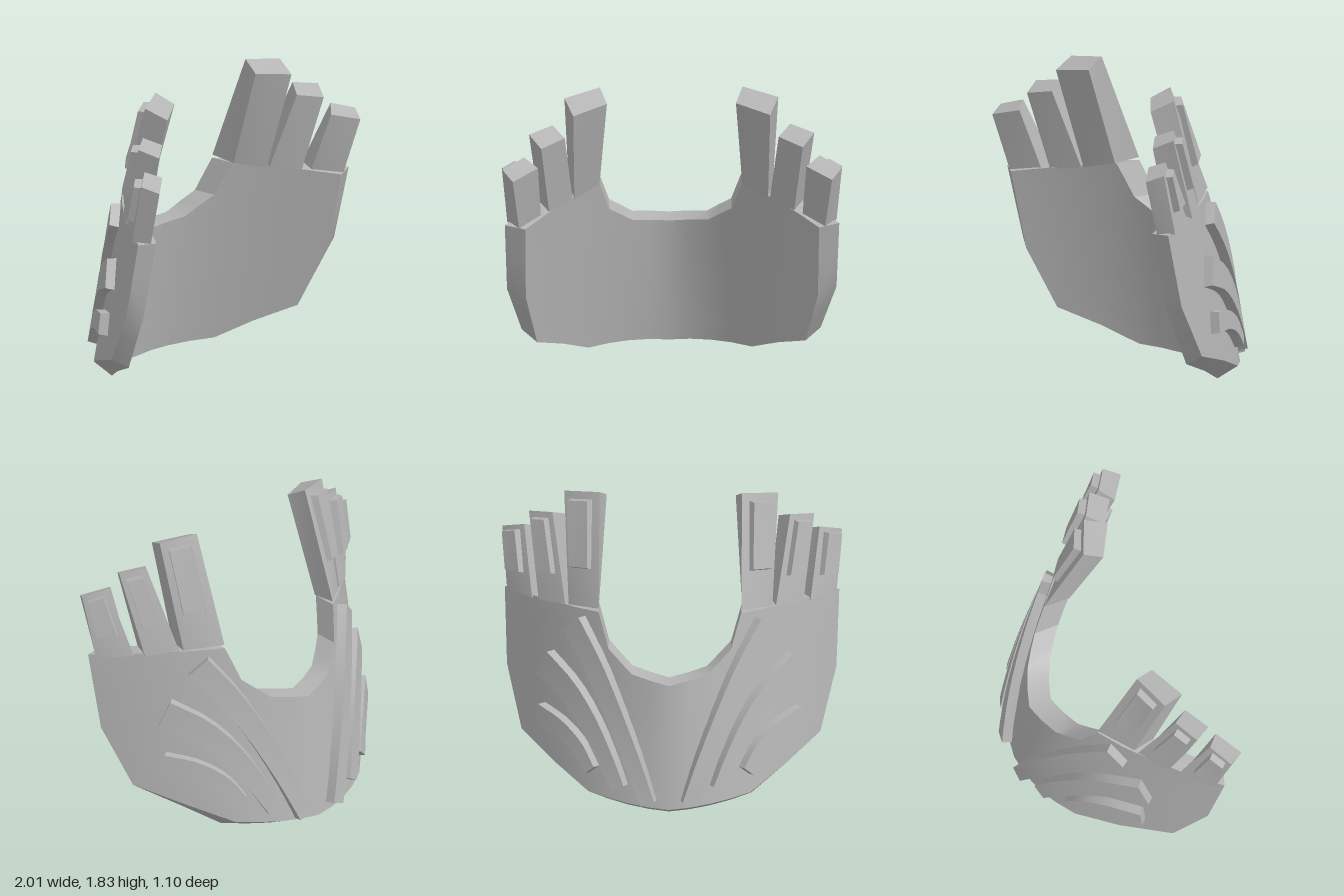
import * as THREE from 'three';
import { toCreasedNormals } from 'three/addons/utils/BufferGeometryUtils.js';

const V = (x, y, z) => new THREE.Vector3(x, y, z);
const lerp = THREE.MathUtils.lerp;

// Curved faces of the plate: depth z for a given x, y
const innerZ = (x, y) => -0.40 + 0.136 * y + 0.86 * x * x + 0.21 * x * y * (1.2 - x);
const outerZ = (x, y) => -0.53 + 0.13 * y + 0.78 * x * x + 0.20 * x * y * (1.2 - x);

const quad = (out, a, b, c, d) => out.push(a, b, c, a, c, d);

// Mirrors a triangle list across x = 0 and keeps faces outward
function mirrored(tris) {
  const out = [];
  for (let i = 0; i < tris.length; i += 3) {
    for (const k of [0, 2, 1]) out.push(V(-tris[i + k].x, tris[i + k].y, tris[i + k].z));
  }
  return out;
}

// Closed skin over a row of four-point sections
function loft(sections) {
  const out = [];
  const a = sections[0], b = sections[sections.length - 1];
  quad(out, a[0], a[1], a[2], a[3]);
  quad(out, b[3], b[2], b[1], b[0]);
  for (let s = 0; s < sections.length - 1; s++) {
    const p = sections[s], q = sections[s + 1];
    for (let i = 0; i < 4; i++) {
      const j = (i + 1) % 4;
      quad(out, p[i], q[i], q[j], p[j]);
    }
  }
  return out;
}

// Splits each span of a 2D polyline in two
function refine(points) {
  const out = [points[0]];
  for (let i = 1; i < points.length; i++) {
    const [ax, ay] = points[i - 1], [bx, by] = points[i];
    out.push([(ax + bx) / 2, (ay + by) / 2], [bx, by]);
  }
  return out;
}

// Half of the curved plate, from the centre line to the left side
function plateHalf() {
  const rows = 8;
  const grid = (bottom, top, depth) => {
    const lo = refine(bottom), hi = refine(top);
    return lo.map(([x, y], i) => Array.from({ length: rows + 1 }, (_, j) => {
      const px = lerp(x, hi[i][0], j / rows), py = lerp(y, hi[i][1], j / rows);
      return V(px, py, depth(px, py));
    }));
  };
  const neck = [[0, 0.81], [0.22, 0.85], [0.36, 0.97], [0.42, 1.17]];
  const inner = grid(
    [[0, 0], [0.24, 0.02], [0.48, 0.04], [0.79, 0.24], [0.86, 0.6], [0.865, 1.08]],
    [...neck, [0.64, 1.13], [0.865, 1.08]], innerZ);
  const outer = grid(
    [[0, 0.06], [0.24, 0.08], [0.48, 0.1], [0.88, 0.3], [0.97, 0.64], [0.985, 1.09]],
    [...neck, [0.7, 1.14], [0.985, 1.09]], outerZ);
  const out = [];
  for (let i = 0; i < inner.length - 1; i++) {
    const a = inner[i], b = inner[i + 1], c = outer[i], d = outer[i + 1];
    for (let j = 0; j < rows; j++) {
      quad(out, a[j], b[j], b[j + 1], a[j + 1]);
      quad(out, c[j], c[j + 1], d[j + 1], d[j]);
    }
    quad(out, a[0], c[0], d[0], b[0]);
    quad(out, a[rows], b[rows], d[rows], c[rows]);
  }
  return out;
}

// Raised band following the outer face, from its low end to its high end
function band(path, lowWidth, highWidth) {
  const curve = new THREE.CatmullRomCurve3(path.map(([x, y]) => V(x, y, outerZ(x, y))));
  const steps = 10, sections = [];
  for (let i = 0; i <= steps; i++) {
    const t = i / steps, p = curve.getPoint(t), e = 0.01;
    const n = V((outerZ(p.x + e, p.y) - outerZ(p.x - e, p.y)) / (2 * e),
      (outerZ(p.x, p.y + e) - outerZ(p.x, p.y - e)) / (2 * e), -1).normalize();
    p.z = outerZ(p.x, p.y);
    const side = curve.getTangent(t).cross(n).normalize();
    const w = lerp(lowWidth, highWidth, t) / 2;
    const at = (s, h) => p.clone().addScaledVector(side, s * w).addScaledVector(n, h);
    sections.push([at(-1, -0.04), at(1, -0.04), at(0.88, 0.055), at(-0.88, 0.055)]);
  }
  return loft(sections);
}

// Raised panel on the rear face of a prong
function panel(base, top) {
  const at = (u, v) => base[0].clone().lerp(base[1], u).lerp(top[0].clone().lerp(top[1], u), v);
  const foot = [at(0.2, 0.32), at(0.82, 0.32), at(0.82, 0.94), at(0.2, 0.94)];
  const n = foot[3].clone().sub(foot[0]).cross(foot[1].clone().sub(foot[0])).normalize();
  const mid = at(0.51, 0.63);
  const low = foot.map((p) => p.clone().addScaledVector(n, -0.02));
  const high = foot.map((p) => p.clone().lerp(mid, 0.07).addScaledVector(n, 0.045));
  return loft([low, high]);
}

export function createModel() {
  const group = new THREE.Group();
  const grey = new THREE.MeshStandardMaterial({ color: 0xb4b4b4 });
  grey.name = 'grey';

  const add = (name, tris) => {
    const geometry = new THREE.BufferGeometry().setFromPoints(tris);
    const mesh = new THREE.Mesh(toCreasedNormals(geometry, 0.55), grey);
    mesh.name = name;
    group.add(mesh);
  };
  const addPair = (name, tris) => {
    add(name + 'Left', tris);
    add(name + 'Right', mirrored(tris));
  };

  // Curved plate
  const half = plateHalf();
  add('plate', half.concat(mirrored(half)));

  // Raised bands fanning out from the bottom centre
  addPair('innerBand', band([[0.115, 0.1], [0.19, 0.32], [0.3, 0.6], [0.42, 0.86], [0.55, 1.07]], 0.1, 0.17));
  addPair('middleBand', band([[0.28, 0.17], [0.35, 0.33], [0.45, 0.52], [0.57, 0.67], [0.72, 0.77]], 0.1, 0.2));
  addPair('outerBand', band([[0.44, 0.24], [0.51, 0.35], [0.62, 0.43], [0.75, 0.46]], 0.09, 0.14));

  // Prongs: corners inner rear, outer rear, outer front, inner front
  const prongs = [
    ['inner',
      [V(0.42, 1.19, -0.16), V(0.60, 1.15, 0), V(0.57, 1.13, 0.13), V(0.42, 1.17, 0)],
      [V(0.42, 1.83, 0.09), V(0.63, 1.80, 0.18), V(0.58, 1.74, 0.31), V(0.38, 1.77, 0.20)]],
    ['middle',
      [V(0.62, 1.14, 0.01), V(0.78, 1.12, 0.14), V(0.72, 1.10, 0.27), V(0.58, 1.13, 0.14)],
      [V(0.70, 1.645, 0.22), V(0.84, 1.62, 0.30), V(0.77, 1.57, 0.40), V(0.63, 1.60, 0.31)]],
    ['outer',
      [V(0.82, 1.11, 0.19), V(0.97, 1.09, 0.36), V(0.90, 1.07, 0.44), V(0.77, 1.09, 0.30)],
      [V(0.87, 1.505, 0.37), V(1.0, 1.46, 0.45), V(0.94, 1.42, 0.54), V(0.79, 1.465, 0.44)]],
  ];
  for (const [name, base, top] of prongs) {
    addPair(name + 'Prong', loft([base, top]));
    addPair(name + 'ProngPanel', panel(base, top));
  }
  return group;
}
